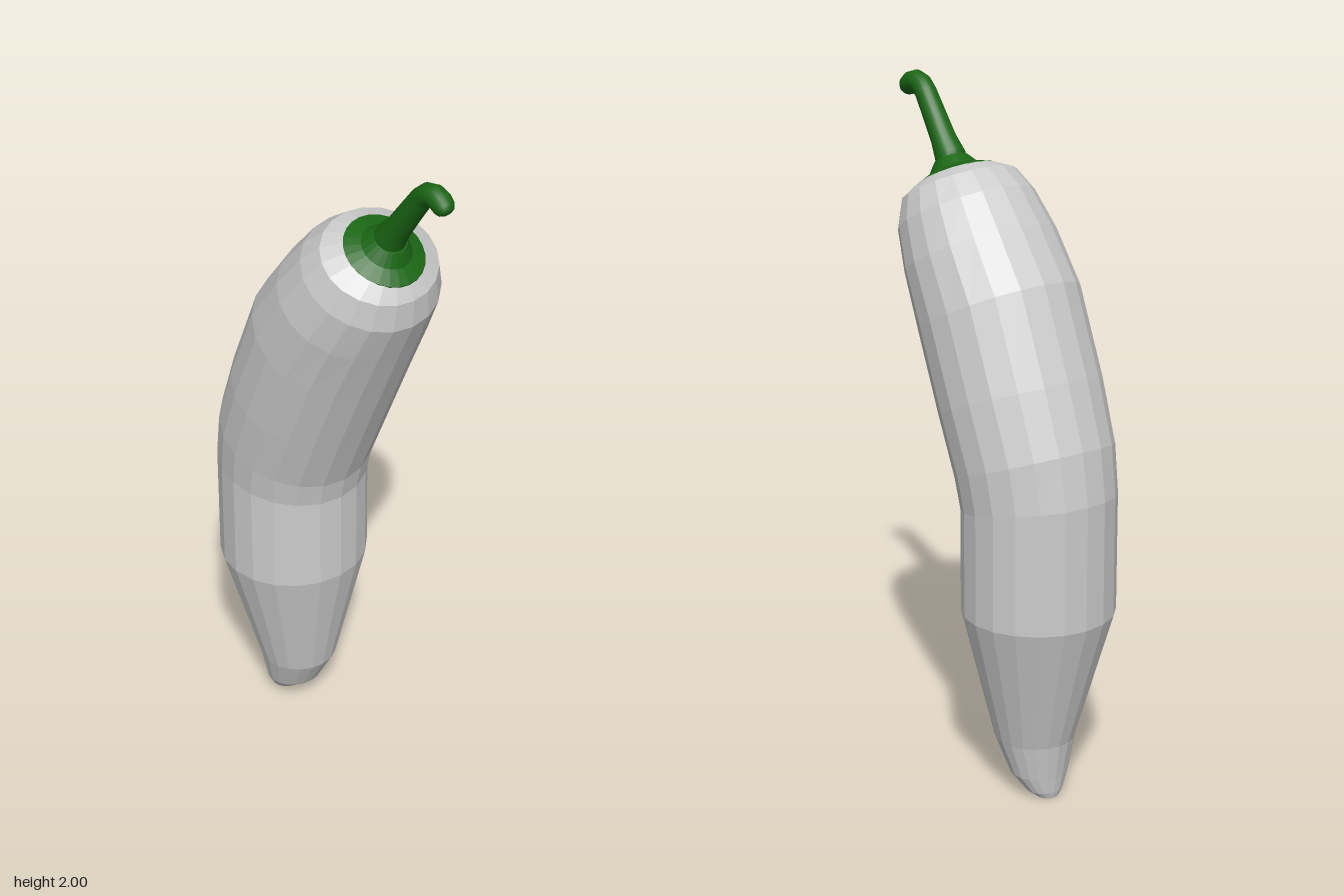
import * as THREE from 'three';

// Skin closed cross-sections. Each ring: front point (z, y), back point (z, y), half width in x.
function loft(rings, sides) {
  const pos = [], index = [];
  for (const [fz, fy, bz, by, w] of rings) {
    const cz = (fz + bz) / 2, cy = (fy + by) / 2;
    for (let j = 0; j < sides; j++) {
      const a = (j / sides) * Math.PI * 2, c = Math.cos(a);
      pos.push(w * Math.sin(a), cy + (fy - cy) * c, cz + (fz - cz) * c);
    }
  }
  for (let i = 0; i < rings.length - 1; i++) {
    for (let j = 0; j < sides; j++) {
      const k = (j + 1) % sides, lo = i * sides, hi = lo + sides;
      index.push(lo + j, lo + k, hi + k, lo + j, hi + k, hi + j);
    }
  }
  // end caps
  const last = (rings.length - 1) * sides;
  for (let j = 1; j < sides - 1; j++) {
    index.push(0, j + 1, j, last, last + j, last + j + 1);
  }
  const geo = new THREE.BufferGeometry();
  geo.setAttribute('position', new THREE.Float32BufferAttribute(pos, 3));
  geo.setIndex(index);
  geo.computeVertexNormals();
  return geo;
}

// Turn a centre (z, y), axis direction (z, y) and radius into a round ring.
function roundRing(z, y, tz, ty, r) {
  const l = Math.hypot(tz, ty), uz = (ty / l) * r, uy = (-tz / l) * r;
  return [z + uz, y + uy, z - uz, y - uy, r];
}

export function createModel() {
  const group = new THREE.Group();
  const add = (name, geo, mat) => {
    const mesh = new THREE.Mesh(geo, mat);
    mesh.name = name;
    group.add(mesh);
  };

  // curved pepper body, tip to shoulder
  const body = [
    [-0.22, 0.01, -0.285, 0.0, 0.035],
    [-0.195, 0.02, -0.29, 0.02, 0.055],
    [-0.135, 0.07, -0.295, 0.065, 0.085],
    [-0.08, 0.17, -0.31, 0.17, 0.115],
    [0.005, 0.56, -0.425, 0.56, 0.22],
    [0.005, 0.84, -0.425, 0.92, 0.22],
    [0.02, 0.91, -0.4, 1.07, 0.228],
    [0.09, 1.08, -0.334, 1.25, 0.235],
    [0.175, 1.28, -0.228, 1.5, 0.235],
    [0.245, 1.44, -0.122, 1.64, 0.225],
    [0.295, 1.55, -0.04, 1.735, 0.202],
    [0.297, 1.63, 0.025, 1.78, 0.173],
    [0.275, 1.675, 0.08, 1.785, 0.118],
  ];
  add('pepperBody', loft(body, 20),
    new THREE.MeshStandardMaterial({ color: 0xcccccc, flatShading: true }));

  // calyx: flared disc at the base of the stem
  const calyx = [
    roundRing(0.172, 1.715, 0.49, 0.87, 0.115),
    roundRing(0.179, 1.73, 0.49, 0.87, 0.115),
    roundRing(0.188, 1.745, 0.49, 0.87, 0.072),
    roundRing(0.203, 1.775, 0.49, 0.87, 0.046),
  ];
  add('calyx', loft(calyx, 24),
    new THREE.MeshStandardMaterial({ color: 0x1a6614, flatShading: true }));

  // tapering stem that hooks forward, with a rounded end
  const path = [
    [0.185, 1.745, 0.05], [0.205, 1.785, 0.043], [0.235, 1.825, 0.036], [0.28, 1.89, 0.033],
    [0.318, 1.943, 0.031], [0.34, 1.963, 0.031], [0.365, 1.969, 0.031], [0.387, 1.962, 0.031],
    [0.402, 1.95, 0.029], [0.411, 1.941, 0.022], [0.415, 1.937, 0.01],
  ];
  const stem = path.map(([z, y, r], i) => {
    const a = path[Math.max(i - 1, 0)], b = path[Math.min(i + 1, path.length - 1)];
    return roundRing(z, y, b[0] - a[0], b[1] - a[1], r);
  });
  add('stem', loft(stem, 20), new THREE.MeshStandardMaterial({ color: 0x1a6614 }));

  return group;
}
